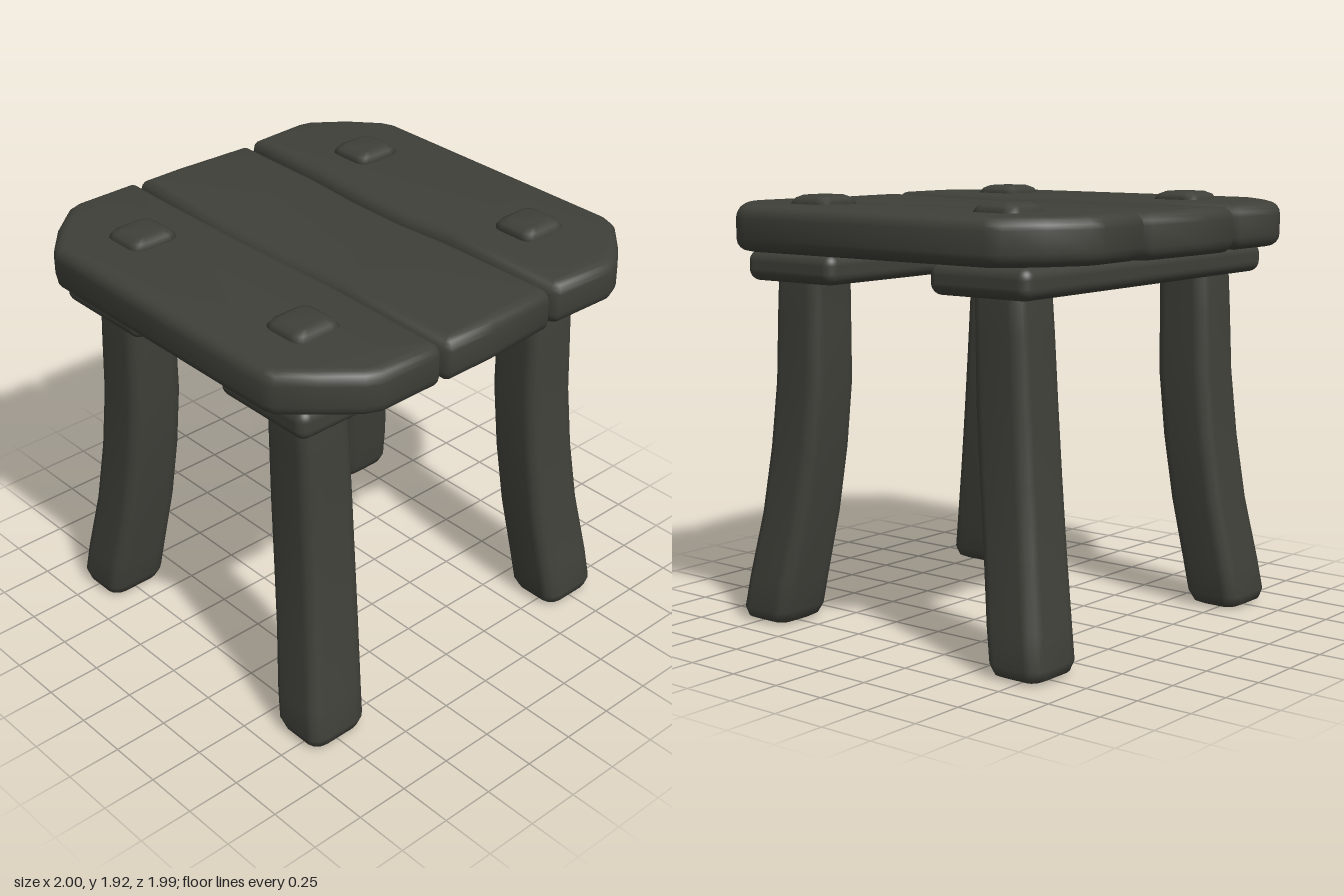
import * as THREE from 'three';
import { toCreasedNormals } from 'three/addons/utils/BufferGeometryUtils.js';
import { RoundedBoxGeometry } from 'three/addons/geometries/RoundedBoxGeometry.js';

const darkWood = new THREE.MeshStandardMaterial({ color: 0x40403a });
darkWood.name = 'darkWood';

function part(geometry, name) {
  const mesh = new THREE.Mesh(geometry, darkWood);
  mesh.name = name;
  return mesh;
}

// Plank with rounded edges from an [x, z] outline, sagging a little mid-length
function plank(outline, name, top, sag) {
  const bevel = 0.055, thickness = 0.2;
  const shape = new THREE.Shape(outline.map(([x, z]) => new THREE.Vector2(x, z)));
  const geo = new THREE.ExtrudeGeometry(shape, {
    depth: thickness - 2 * bevel, bevelEnabled: true, bevelSegments: 4,
    bevelSize: bevel, bevelThickness: bevel, bevelOffset: -bevel,
  });
  geo.rotateX(Math.PI / 2);
  geo.translate(0, top - bevel, 0);
  const p = geo.attributes.position;
  for (let i = 0; i < p.count; i++) {
    p.setY(i, p.getY(i) - sag * Math.max(0, 1 - p.getZ(i) ** 2));
  }
  return part(toCreasedNormals(geo, 0.9), name);
}

// Loft of rounded squares; each section is [y, centre x, centre z, half width x, half width z]
function leg(sections, sx, sz, name) {
  const per = 16, pos = [], index = [];
  for (const [y, cx, cz, hx, hz] of sections) {
    for (let k = 0; k < per; k++) {
      const corner = Math.floor(k / 4);
      const a = (corner + (k % 4) / 3) * Math.PI / 2;
      const dx = corner === 0 || corner === 3 ? 1 : -1;
      const dz = corner < 2 ? 1 : -1;
      const r = 0.45;
      pos.push(sx * cx + hx * (dx * (1 - r) + r * Math.cos(a)), y,
        sz * cz + hz * (dz * (1 - r) + r * Math.sin(a)));
    }
  }
  for (let s = 0; s < sections.length - 1; s++) {
    for (let k = 0; k < per; k++) {
      const a = s * per + k, b = s * per + (k + 1) % per;
      index.push(a, a + per, b, b, a + per, b + per);
    }
  }
  // End caps
  const last = (sections.length - 1) * per;
  for (let k = 1; k < per - 1; k++) {
    index.push(0, k, k + 1, last, last + k + 1, last + k);
  }
  const geo = new THREE.BufferGeometry();
  geo.setAttribute('position', new THREE.Float32BufferAttribute(pos, 3));
  geo.setIndex(index);
  geo.computeVertexNormals();
  return part(geo, name);
}

export function createModel() {
  const group = new THREE.Group();
  group.name = 'stool';

  // Seat of three planks with wavy joints
  group.add(plank([
    [-1, -0.67], [-0.97, -0.73], [-0.86, -0.86], [-0.72, -0.98], [-0.66, -1], [-0.36, -1], [-0.335, -0.975],
    [-0.34, -0.6], [-0.335, -0.2], [-0.325, 0.1], [-0.32, 0.35], [-0.335, 0.97], [-0.36, 0.99],
    [-0.65, 0.99], [-0.72, 0.96], [-0.86, 0.84], [-0.98, 0.73], [-1, 0.67],
  ], 'rightPlank', 1.89, 0));
  group.add(plank([
    [-0.32, -0.975], [-0.295, -1], [-0.1, -1], [0.28, -0.98], [0.31, -0.955], [0.32, -0.5], [0.305, -0.2],
    [0.305, 0.1], [0.325, 0.35], [0.315, 0.94], [0.29, 0.97], [-0.05, 0.99], [-0.29, 0.99],
    [-0.315, 0.965], [-0.305, 0.35], [-0.325, 0], [-0.33, -0.4],
  ], 'middlePlank', 1.885, 0.015));
  group.add(plank([
    [0.335, -0.96], [0.36, -0.985], [0.63, -0.995], [0.7, -0.98], [0.85, -0.87], [0.97, -0.74], [1, -0.67],
    [1, 0.66], [0.97, 0.74], [0.85, 0.86], [0.74, 0.95], [0.67, 0.98], [0.36, 0.97],
    [0.33, 0.94], [0.34, 0.35], [0.32, 0.1], [0.32, -0.2], [0.34, -0.5],
  ], 'leftPlank', 1.89, 0.01));

  // Battens under the seat
  for (const [name, z] of [['frontBatten', 0.525], ['backBatten', -0.535]]) {
    const batten = part(new RoundedBoxGeometry(1.77, 0.135, 0.52, 4, 0.05), name);
    batten.position.set(-0.005, 1.62, z);
    batten.rotation.z = -0.004;
    group.add(batten);
  }

  // Bent legs whose tops come through the seat as pegs
  const sections = [
    [0, 0.745, 0.72, 0.1, 0.09],
    [0.015, 0.745, 0.722, 0.135, 0.12],
    [0.06, 0.742, 0.718, 0.153, 0.138],
    [0.2, 0.73, 0.695, 0.153, 0.138],
    [0.5, 0.695, 0.645, 0.147, 0.136],
    [0.8, 0.675, 0.607, 0.142, 0.137],
    [1.1, 0.665, 0.58, 0.138, 0.137],
    [1.4, 0.668, 0.57, 0.134, 0.132],
    [1.6, 0.67, 0.562, 0.13, 0.128],
    [1.89, 0.65, 0.52, 0.12, 0.115],
    [1.912, 0.65, 0.52, 0.105, 0.1],
    [1.925, 0.65, 0.52, 0.075, 0.07],
  ];
  group.add(leg(sections, -1, 1, 'frontRightLeg'));
  group.add(leg(sections, 1, 1, 'frontLeftLeg'));
  group.add(leg(sections, -1, -1, 'backRightLeg'));
  group.add(leg(sections, 1, -1, 'backLeftLeg'));
  return group;
}
